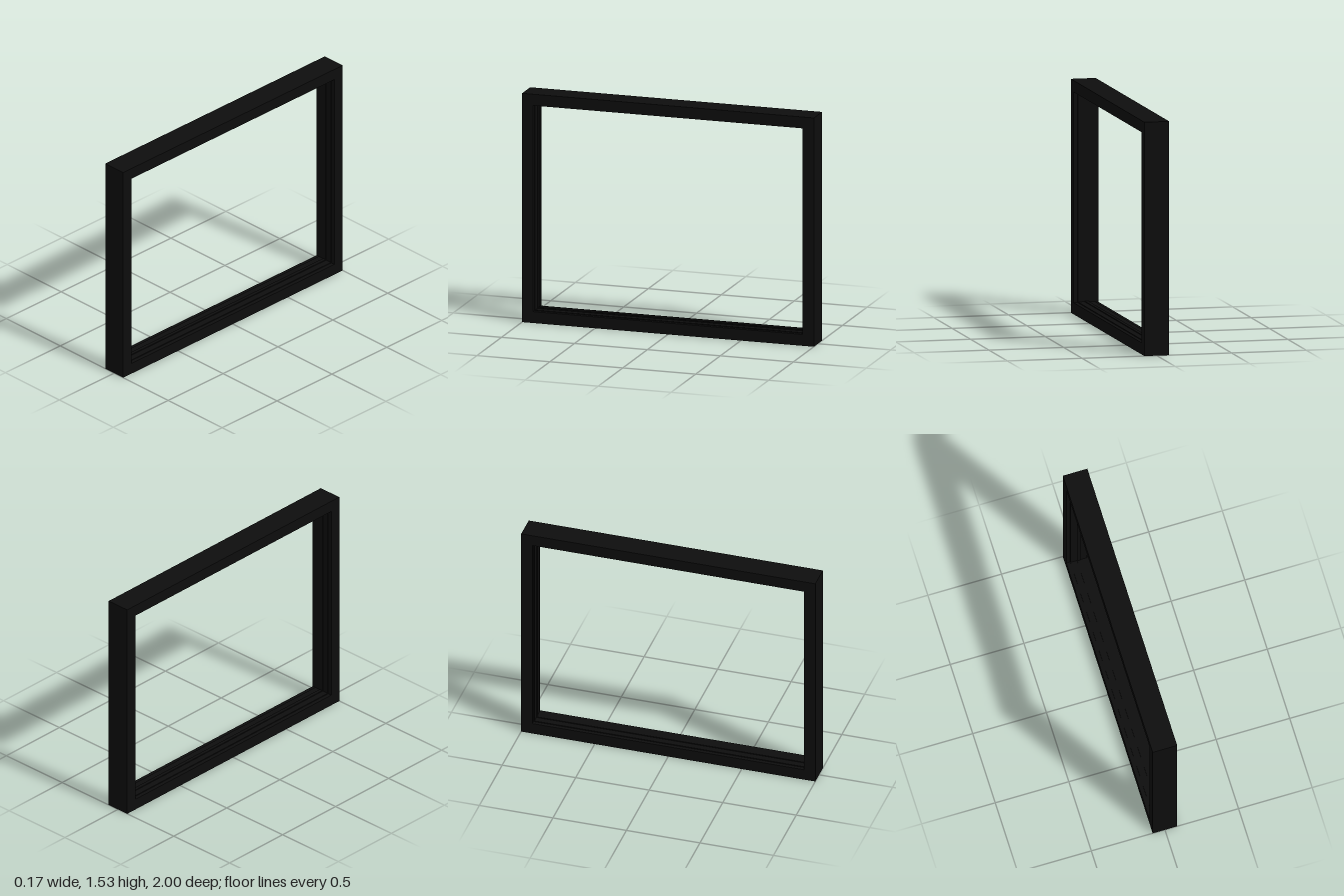
import * as THREE from 'three';

const HEIGHT = 1.535, LENGTH = 2, DEPTH = 0.166;

// Rectangular ring in the y-z plane, from one inset to a deeper one, centred on x = 0
function ring(name, outerInset, innerInset, depth, material) {
  const rect = (path, inset) => {
    const z = LENGTH / 2 - inset, y0 = inset, y1 = HEIGHT - inset;
    path.moveTo(-z, y0);
    path.lineTo(z, y0);
    path.lineTo(z, y1);
    path.lineTo(-z, y1);
    path.closePath();
    return path;
  };
  const shape = rect(new THREE.Shape(), outerInset);
  shape.holes.push(rect(new THREE.Path(), innerInset));
  const geometry = new THREE.ExtrudeGeometry(shape, { depth, bevelEnabled: false });
  geometry.translate(0, 0, -depth / 2);
  geometry.rotateY(Math.PI / 2);
  const mesh = new THREE.Mesh(geometry, material);
  mesh.name = name;
  return mesh;
}

export function createModel() {
  const group = new THREE.Group();
  group.name = 'openFrame';
  const black = new THREE.MeshStandardMaterial({ color: 0x0d0d0d });

  // Main frame, then the shallow steps lining its opening
  group.add(ring('outerFrame', 0, 0.076, DEPTH, black));
  group.add(ring('innerLining', 0.076, 0.081, 0.112, black));
  group.add(ring('centreStop', 0.081, 0.086, 0.024, black));
  return group;
}
